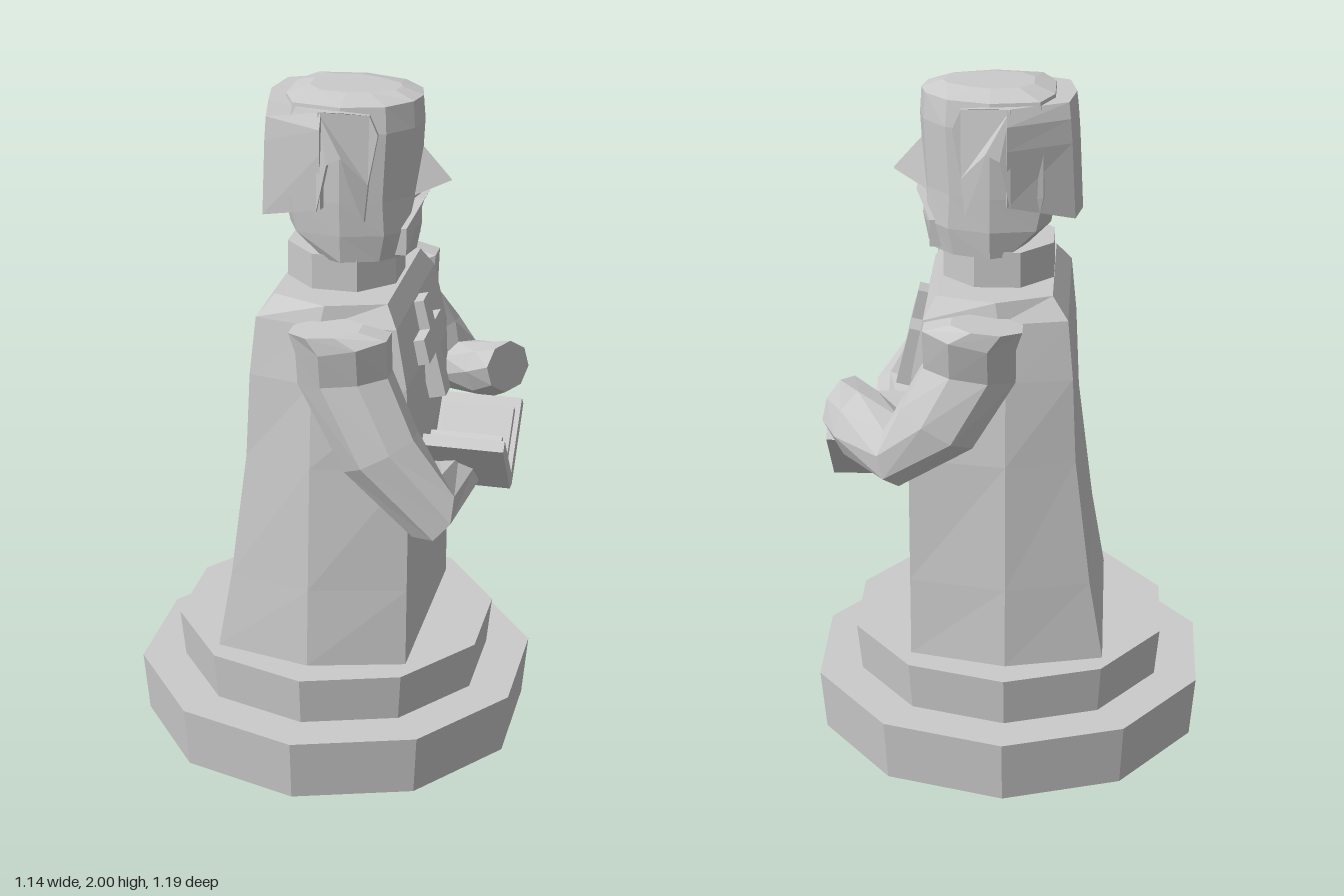
import * as THREE from 'three';

const mat = new THREE.MeshStandardMaterial({ color: 0xcccccc, flatShading: true });

function mesh(name, geo) {
  const m = new THREE.Mesh(geo, mat);
  m.name = name;
  return m;
}

// Closed faceted solid through rings of [x, y, z] points, capped at both ends
function loft(rings) {
  const n = rings[0].length, pos = [];
  const centre = r => [0, 1, 2].map(k => r.reduce((s, p) => s + p[k], 0) / n);
  const tri = (a, b, c) => pos.push(...a, ...b, ...c);
  const last = rings.length - 1, c0 = centre(rings[0]), c1 = centre(rings[last]);
  for (let j = 0; j < n; j++) {
    const k = (j + 1) % n;
    for (let i = 0; i < last; i++) {
      tri(rings[i][j], rings[i][k], rings[i + 1][k]);
      tri(rings[i][j], rings[i + 1][k], rings[i + 1][j]);
    }
    tri(c0, rings[0][k], rings[0][j]);
    tri(c1, rings[last][j], rings[last][k]);
  }
  // Turn the faces outward if the rings run the other way round
  let vol = 0;
  const v = i => new THREE.Vector3().fromArray(pos, i);
  for (let i = 0; i < pos.length; i += 9) vol += v(i).dot(v(i + 3).cross(v(i + 6)));
  if (vol < 0) {
    for (let i = 0; i < pos.length; i += 9)
      for (let k = 0; k < 3; k++) [pos[i + 3 + k], pos[i + 6 + k]] = [pos[i + 6 + k], pos[i + 3 + k]];
  }
  const g = new THREE.BufferGeometry();
  g.setAttribute('position', new THREE.Float32BufferAttribute(pos, 3));
  g.computeVertexNormals();
  return g;
}

// Full ring at height y from half a plan of [x, z] points, mirrored in z
function mirrored(half, y) {
  const other = half.filter(p => p[1] > 0).reverse().map(([x, z]) => [x, y, -z]);
  return [...half.map(([x, z]) => [x, y, z]), ...other];
}

// Limb through [centre, halfAxisU, halfAxisV] eight-sided sections
function limb(sections) {
  return loft(sections.map(([c, u, v]) => Array.from({ length: 8 }, (_, i) => {
    const a = Math.PI / 8 + i * Math.PI / 4;
    return c.map((q, k) => q + 1.08 * (u[k] * Math.cos(a) + v[k] * Math.sin(a)));
  })));
}

function extrude(points, depth) {
  const shape = new THREE.Shape(points.map(p => new THREE.Vector2(...p)));
  return new THREE.ExtrudeGeometry(shape, { depth, bevelEnabled: false });
}

export function createModel() {
  const model = new THREE.Group();
  model.name = 'robedFigure';

  // Two-step ten-sided plinth
  for (const [name, top, bottom, y, h] of [
    ['lowerPlinth', 0.597, 0.58, 0, 0.185], ['upperPlinth', 0.48, 0.465, 0.185, 0.145]]) {
    const g = new THREE.CylinderGeometry(top, bottom, h, 10);
    g.translate(0, y + h / 2, 0);
    model.add(mesh(name, g));
  }

  // Robe: y, back x and z, side x and z, front x and z
  model.add(mesh('robe', loft([
    [0.33, -0.285, 0.32, 0, 0.385, 0.28, 0.31],
    [0.57, -0.245, 0.31, 0, 0.37, 0.28, 0.305],
    [0.95, -0.2, 0.29, 0, 0.345, 0.28, 0.295],
    [1.2, -0.19, 0.28, 0, 0.32, 0.27, 0.29],
    [1.37, -0.175, 0.26, 0.02, 0.3, 0.235, 0.27],
    [1.43, -0.13, 0.22, 0.03, 0.285, 0.2, 0.23],
  ].map(([y, bx, bz, sx, sz, fx, fz]) => mirrored([[bx, bz], [sx, sz], [fx, fz]], y)))));

  // Cross on the chest
  const cross = new THREE.Group();
  cross.name = 'chestCross';
  cross.add(mesh('crossUpright', new THREE.BoxGeometry(0.05, 0.3, 0.07)));
  const bar = mesh('crossBar', new THREE.BoxGeometry(0.05, 0.075, 0.245));
  bar.position.y = 0.025;
  cross.add(bar);
  cross.position.set(0.275, 1.22, 0);
  cross.rotation.z = 0.237;
  model.add(cross);

  // Arms share the shoulder; the left sleeve holds the book, the other is raised
  const shoulder = s => [
    [[0.05, 1.39, s * 0.35], [0, 0, s * 0.075], [0.1, 0.01, 0]],
    [[0.1, 1.35, s * 0.345], [0, 0, s * 0.085], [0.13, 0.03, 0]],
    [[0.1, 1.24, s * 0.325], [0, 0, s * 0.08], [0.13, 0.02, 0]],
  ];
  model.add(mesh('bookArm', limb([
    ...shoulder(1),
    [[0.21, 1.03, 0.35], [0, 0, 0.08], [0.1, 0.06, 0]],
    [[0.345, 0.875, 0.35], [0.055, -0.05, 0.06], [0.06, 0.07, 0]],
    [[0.36, 0.825, 0.03], [0.06, -0.03, 0], [0.04, 0.05, 0]],
  ])));
  model.add(mesh('raisedArm', limb([
    ...shoulder(-1),
    [[0.19, 1.1, -0.37], [0, -0.01, -0.08], [0.1, 0.06, 0]],
    [[0.3, 1.01, -0.375], [0.02, -0.07, -0.06], [0.05, 0.045, -0.045]],
    [[0.42, 1.05, -0.26], [0.02, -0.085, -0.03], [0.06, 0.02, -0.06]],
    [[0.475, 1.085, -0.21], [0.015, -0.075, -0.015], [0.045, 0.01, -0.065]],
  ])));

  // Open book
  const book = new THREE.Group();
  book.name = 'book';
  const cover = mesh('bookCover', extrude([[-0.14, 0.965], [0, 0.785], [0.035, 0.785],
    [0.21, 0.97], [0.18, 1], [0.018, 0.83], [-0.115, 0.99]], 0.24));
  const pages = mesh('bookPages', extrude([[-0.1, 0.965], [0.018, 0.82], [0.16, 0.965],
    [0.13, 0.99], [0.018, 0.87], [-0.07, 0.985]], 0.21));
  pages.position.z = 0.015;
  book.add(cover, pages);
  book.rotation.y = Math.PI / 2;
  book.position.x = 0.285;
  model.add(book);

  // Neck
  const neck = new THREE.CylinderGeometry(0.172, 0.172, 0.14, 8);
  neck.rotateY(Math.PI / 8);
  neck.translate(0.03, 1.465, 0);
  model.add(mesh('neck', neck));

  // Head: y, back x, front x, width scale
  model.add(mesh('head', loft([
    [1.52, -0.04, 0.235, 0.95], [1.6, -0.12, 0.25, 1], [1.7, -0.14, 0.245, 1.02],
    [1.9, -0.14, 0.255, 1.02], [1.975, -0.13, 0.25, 0.95], [1.995, -0.07, 0.19, 0.5],
  ].map(([y, b, f, w]) => mirrored([[f, 0], [f - 0.015, 0.07 * w], [f - 0.08, 0.145 * w],
    [0.05, 0.182 * w], [b + 0.04, 0.16 * w], [b, 0.07 * w]], y)))));

  // Nose
  model.add(mesh('nose', loft([
    [[0.23, 1.85, 0], [0.23, 1.69, 0.045], [0.23, 1.68, -0.045]],
    [[0.332, 1.735, 0], [0.332, 1.73, 0.002], [0.332, 1.73, -0.002]],
  ])));

  // Short beard on the chin
  const beard = extrude([[-0.1, 1.53], [0.1, 1.53], [0.1, 1.61], [0.045, 1.685],
    [-0.045, 1.685], [-0.1, 1.61]], 0.06);
  beard.rotateY(Math.PI / 2);
  beard.translate(0.205, 0, 0);
  const bp = beard.attributes.position;
  for (let i = 0; i < bp.count; i++) bp.setX(i, bp.getX(i) - Math.max(0, Math.abs(bp.getZ(i)) - 0.05) * 0.8);
  model.add(mesh('beard', beard));

  // Hair at the back, its lower edge sloping up to the front
  model.add(mesh('backHair', loft([
    [1.62, -0.21, 0.94, 0.3], [1.85, -0.2, 1, 0], [1.92, -0.195, 1, 0], [1.965, -0.19, 0.9, 0],
  ].map(([y, b, w, slope]) => mirrored([[b, 0], [b + 0.02, 0.125 * w], [0, 0.215 * w], [0.01, 0.15 * w]], y)
    .map(([x, py, z]) => [x, py + slope * (x - b), z])))));

  // Hair over each temple with a sideburn and a notch at the ear
  for (const s of [1, -1]) {
    const g = extrude([[-0.01, 1.68], [0.02, 1.82], [0.06, 1.84], [0.08, 1.76], [0.12, 1.65],
      [0.13, 1.76], [0.155, 1.9], [0.13, 1.955], [0.06, 1.965], [-0.01, 1.965]], 1);
    const p = g.attributes.position;
    for (let i = 0; i < p.count; i++) {
      const x = p.getX(i), crown = Math.max(0, p.getY(i) - 1.92) * 0.45;
      const outer = 0.215 - Math.max(0, x - 0.05) * 0.45 - crown;
      const outside = s > 0 ? p.getZ(i) : 1 - p.getZ(i);
      p.setZ(i, s * (outside > 0.5 ? outer : 0.12));
    }
    g.computeVertexNormals();
    model.add(mesh(s > 0 ? 'leftTempleHair' : 'rightTempleHair', g));
  }
  return model;
}
